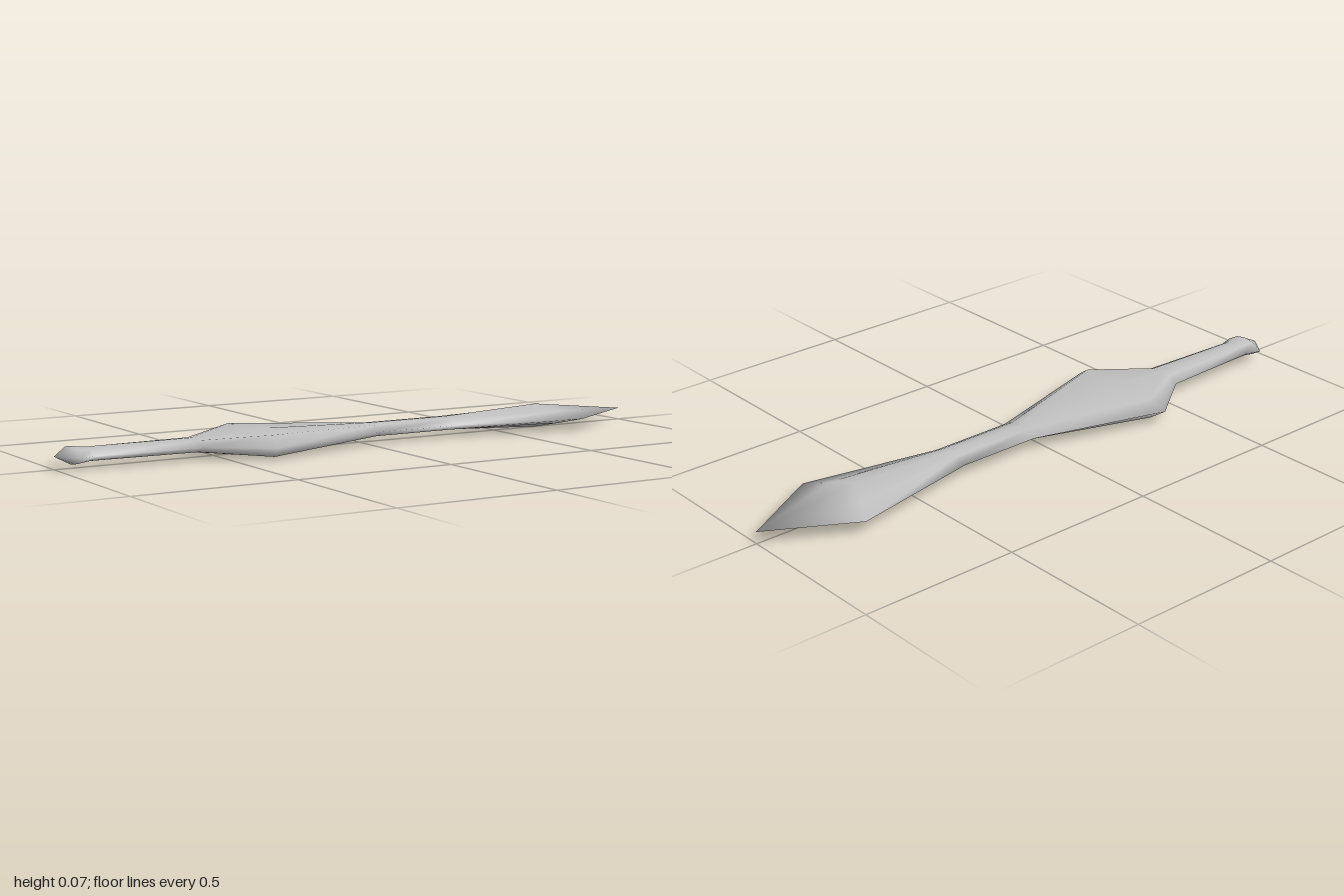
import * as THREE from 'three';

const MID = 0.038; // height of the long axis

// Stations along x: [xRidge, xEdge, ridgeHeight, cornerHeight, cornerZ, edgeZ]
const STATIONS = [
  [-0.95, -0.95, 0.026, 0.021, 0.035, 0.07],   // pommel
  [-0.9, -0.9, 0.021, 0.016, 0.028, 0.055],    // grip start
  [-0.57, -0.56, 0.021, 0.017, 0.037, 0.07],   // grip end
  [-0.36, -0.39, 0.032, 0.032, 0.145, 0.193],  // broad flat guard
  [0.04, 0.04, 0.021, 0.017, 0.034, 0.067],    // neck start
  [0.31, 0.31, 0.021, 0.017, 0.034, 0.067],    // neck end
  [0.66, 0.735, 0.037, 0.019, 0.078, 0.152],   // blade head
];

// Eight-point cross-section, counter-clockwise seen from +x
function section([xr, xe, h, ch, cz, ez]) {
  const xc = (xr + xe) / 2;
  return [
    [xr, h, 0], [xc, ch, cz], [xe, 0, ez], [xc, -ch, cz],
    [xr, -h, 0], [xc, -ch, -cz], [xe, 0, -ez], [xc, ch, -cz],
  ];
}

// Skin the sections and close both ends to a point
function loft(stations, xStart, xEnd) {
  const n = 8;
  const points = stations.flatMap(section);
  const start = points.length;
  const end = start + 1;
  points.push([xStart, 0, 0], [xEnd, 0, 0]);
  const index = [];
  const last = (stations.length - 1) * n;
  for (let j = 0; j < n; j++) {
    const k = (j + 1) % n;
    for (let i = 0; i < last; i += n) {
      const a = i + j, b = i + k, c = b + n, d = a + n;
      index.push(a, b, d, b, c, d);
    }
    index.push(start, k, j, end, last + j, last + k);
  }
  const geometry = new THREE.BufferGeometry();
  geometry.setAttribute('position', new THREE.Float32BufferAttribute(points.flat(), 3));
  geometry.setIndex(index);
  geometry.computeVertexNormals();
  return geometry;
}

export function createModel() {
  const group = new THREE.Group();
  group.name = 'blade';
  const steel = new THREE.MeshStandardMaterial({ color: 0xc0c0c0 });
  steel.name = 'grey steel';

  // Grip, guard, neck and head form one continuous body
  const body = new THREE.Mesh(loft(STATIONS, -1, 1), steel);
  body.name = 'bladeBody';
  body.position.y = MID;
  group.add(body);
  return group;
}
